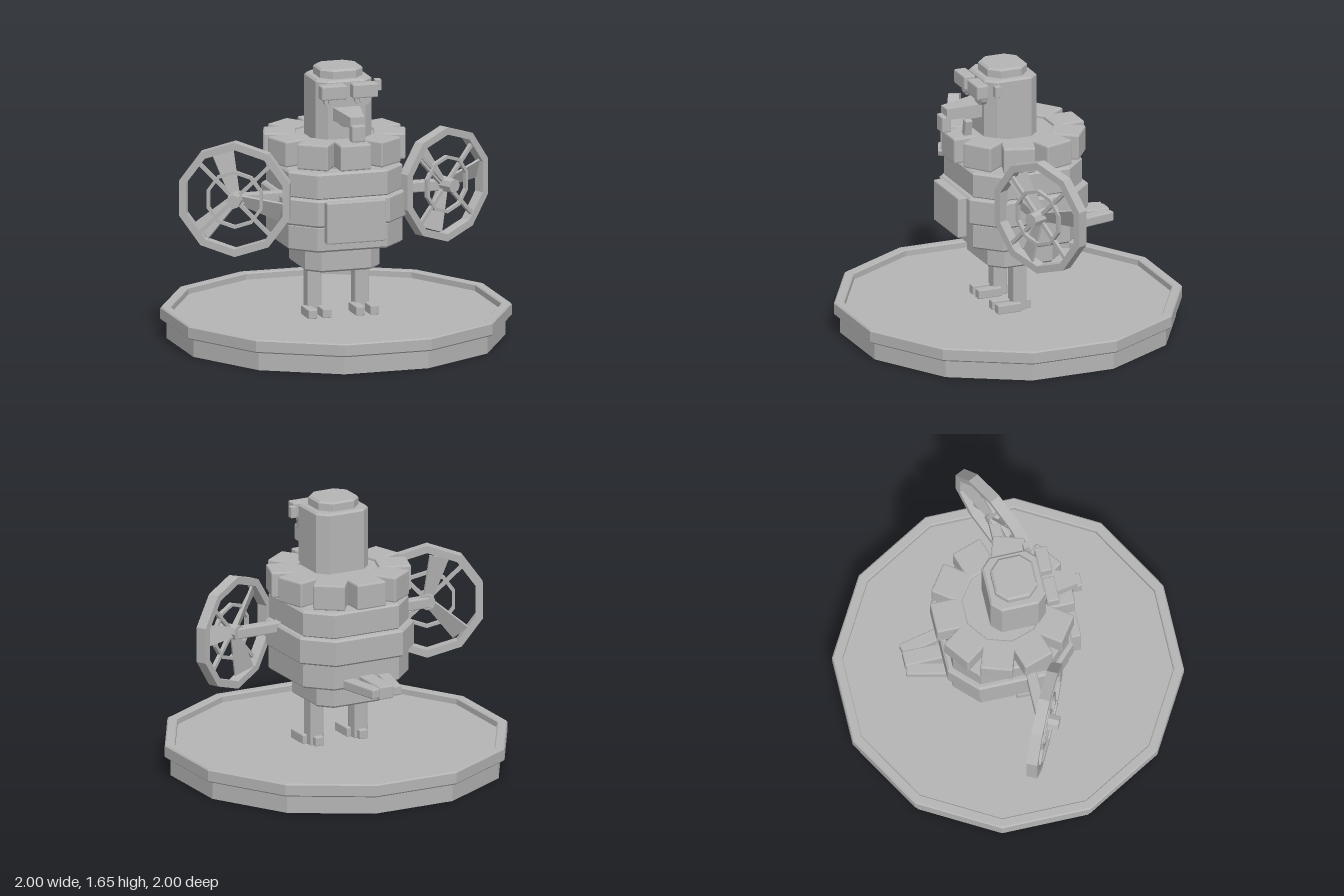
import * as THREE from 'three';
import { RoundedBoxGeometry } from 'three/addons/geometries/RoundedBoxGeometry.js';

const grey = new THREE.MeshStandardMaterial({ color: 0xb4b4b4, flatShading: true });
grey.name = 'plain grey';

function add(parent, name, geometry, x = 0, y = 0, z = 0) {
  const mesh = new THREE.Mesh(geometry, grey);
  mesh.name = name;
  mesh.position.set(x, y, z);
  parent.add(mesh);
  return mesh;
}

// Box with slightly bevelled edges
const block = (w, h, d, r = 0.008) => new RoundedBoxGeometry(w, h, d, 1, r);

// Upright block with cut corners and bevelled rims, standing on y = 0
function octBlock(w, h, d, cut, b = 0.012) {
  const x = w / 2 - b, z = d / 2 - b;
  const shape = new THREE.Shape([
    [x, -z + cut], [x, z - cut], [x - cut, z], [-x + cut, z],
    [-x, z - cut], [-x, -z + cut], [-x + cut, -z], [x - cut, -z],
  ].map(p => new THREE.Vector2(...p)));
  const g = new THREE.ExtrudeGeometry(shape, {
    depth: h - 2 * b, bevelEnabled: true, bevelThickness: b, bevelSize: b, bevelSegments: 1,
  });
  return g.translate(0, 0, b).rotateX(-Math.PI / 2);
}

const lathe = (points, sides, start = 0) =>
  new THREE.LatheGeometry(points.map(p => new THREE.Vector2(...p)), sides, start);

// Flat-sided hoop around the z axis
const hoop = (inner, outer, half) => lathe(
  [[inner, -half], [outer, -half], [outer, half], [inner, half], [inner, -half]], 10).rotateX(Math.PI / 2);

// Box whose vertices are moved by a rule
function warpBox(w, h, d, rule) {
  const g = new THREE.BoxGeometry(w, h, d), p = g.attributes.position, v = new THREE.Vector3();
  for (let i = 0; i < p.count; i++) {
    rule(v.fromBufferAttribute(p, i));
    p.setXYZ(i, v.x, v.y, v.z);
  }
  g.computeVertexNormals();
  return g;
}

function makeFanWing(side) {
  const wing = new THREE.Group();
  wing.name = side > 0 ? 'leftFanWing' : 'rightFanWing';
  wing.position.set(side * 0.645, 0.89, 0.07);
  wing.rotation.y = side * THREE.MathUtils.degToRad(26);
  add(wing, 'outerHoop', hoop(0.3, 0.345, 0.033));
  add(wing, 'innerHoop', hoop(0.155, 0.175, 0.012), 0, 0, 0.02);
  add(wing, 'hub', new THREE.CylinderGeometry(0.042, 0.05, 0.13, 8).rotateX(Math.PI / 2), 0, 0, 0.025);
  // Guard spokes
  for (let i = 0; i < 4; i++) {
    const a = Math.PI / 4 + i * Math.PI / 2;
    const spoke = add(wing, 'spoke', new THREE.BoxGeometry(0.28, 0.022, 0.022),
      Math.cos(a) * 0.17, Math.sin(a) * 0.17, 0.015);
    spoke.rotation.z = a;
  }
  // Pitched blades that widen outwards
  for (let i = 0; i < 3; i++) {
    const pivot = new THREE.Group();
    pivot.name = 'bladePivot';
    pivot.rotation.z = THREE.MathUtils.degToRad((side > 0 ? 10 : 105) + i * 120);
    wing.add(pivot);
    const blade = add(pivot, 'blade', warpBox(0.25, 0.13, 0.014, v => {
      if (v.x < 0) v.y *= 0.5;
    }), 0.155, 0, -0.005);
    blade.rotation.x = 0.42;
  }
  return wing;
}

export function createModel() {
  const model = new THREE.Group();
  model.name = 'fanBird';

  // Twelve-sided stand with a raised rim
  add(model, 'stand', lathe([
    [0, 0], [0.999, 0], [0.999, 0.105], [1.027, 0.11], [1.035, 0.118], [1.035, 0.182],
    [1.027, 0.19], [0.98, 0.19], [0.973, 0.184], [0.973, 0.15], [0, 0.15],
  ], 12, Math.PI / 12));

  // Body tiers
  const cz = -0.032;
  add(model, 'hips', octBlock(0.46, 0.16, 0.46, 0.07), 0, 0.435, cz);
  add(model, 'lowerBody', octBlock(0.705, 0.16, 0.7, 0.13), 0, 0.585, cz);
  add(model, 'bodyBand', octBlock(0.76, 0.165, 0.76, 0.15), 0, 0.74, -0.036);
  add(model, 'upperBody', octBlock(0.705, 0.16, 0.7, 0.13), 0, 0.9, cz);
  add(model, 'bellyPlate', block(0.365, 0.25, 0.06), 0, 0.775, 0.37);

  // Ruff of ten blocks round a flat disc
  add(model, 'ruffDisc', new THREE.CylinderGeometry(0.25, 0.25, 0.17, 20), 0, 1.135, cz);
  for (let i = 0; i < 10; i++) {
    const a = i * Math.PI / 5;
    const r = 0.323;
    const b = add(model, 'ruffBlock', block(0.19, 0.155, 0.19, 0.01),
      Math.sin(a) * r, 1.16, cz + Math.cos(a) * r);
    b.rotation.y = a;
  }

  // Head and cap
  add(model, 'head', octBlock(0.345, 0.4, 0.335, 0.05), 0, 1.19, 0.035);
  add(model, 'cap', octBlock(0.265, 0.07, 0.255, 0.055), 0, 1.576, 0.035);
  add(model, 'earPiece', block(0.038, 0.068, 0.038, 0.003), 0.205, 1.54, 0.157);

  // Beak: upper part, hooked tip, lower part and wattle
  add(model, 'upperBeak', warpBox(0.17, 0.08, 0.22, v => {
    if (v.z > 0) { v.x *= 0.5; v.y = v.y > 0 ? 0.02 : -0.045; }
  }), 0, 1.39, 0.3);
  add(model, 'beakTip', block(0.085, 0.1, 0.06), 0, 1.315, 0.41);
  add(model, 'lowerBeak', block(0.1, 0.035, 0.09), 0, 1.345, 0.245);
  add(model, 'wattle', block(0.045, 0.1, 0.045, 0.005), 0.045, 1.285, 0.28).rotation.z = -0.2;

  for (const s of [-1, 1]) {
    // Brow and eye
    add(model, 'brow', block(0.155, 0.085, 0.075), s * 0.097, 1.532, 0.235);
    add(model, 'eye', new THREE.CylinderGeometry(0.055, 0.055, 0.035, 12).rotateX(Math.PI / 2),
      s * 0.095, 1.488, 0.212);
    add(model, 'pupil', new THREE.CylinderGeometry(0.03, 0.03, 0.02, 10).rotateX(Math.PI / 2),
      s * 0.095, 1.478, 0.235);

    // Leg and toes
    add(model, 'leg', block(0.088, 0.3, 0.088), s * 0.147, 0.295, 0.003);
    for (const t of [-1, 1])
      add(model, 'frontToe', block(0.055, 0.055, 0.15, 0.005), s * 0.147 + t * 0.044, 0.177, 0.08);
    add(model, 'backToe', block(0.055, 0.055, 0.09, 0.005), s * 0.147, 0.177, -0.03);

    // Fan wing and its arm
    add(model, 'wingArm', block(0.33, 0.065, 0.065), s * 0.5, 0.885, 0.06);
    model.add(makeFanWing(s));

    // Outer tail feather
    const f = add(model, 'sideTailFeather', block(0.075, 0.06, 0.29), s * 0.092, 0.615, -0.487);
    f.rotation.y = s * 0.22;
  }
  add(model, 'middleTailFeather', block(0.095, 0.08, 0.3), 0, 0.613, -0.48);

  return model;
}
